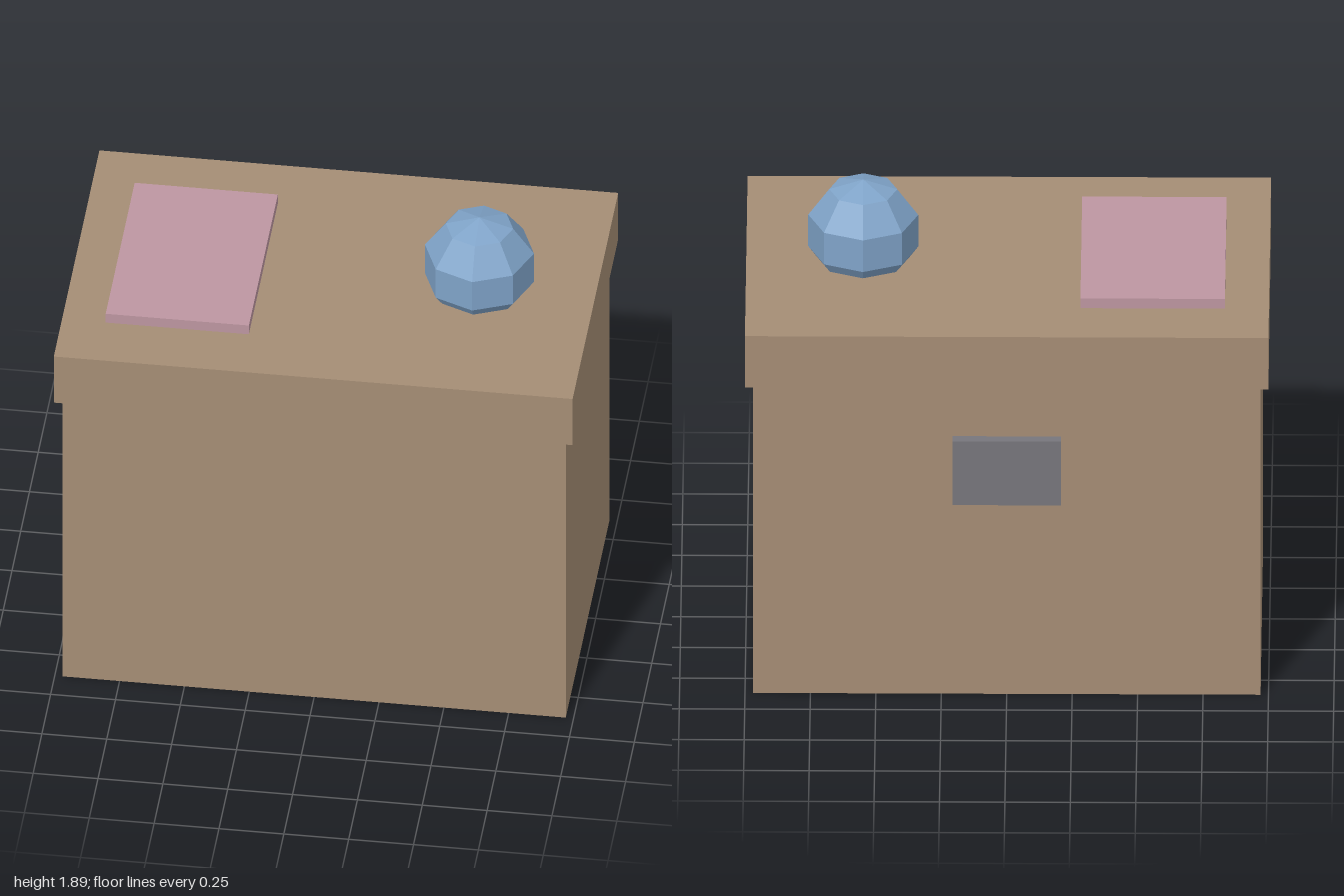
import * as THREE from 'three';

const paint = (name, color, flatShading = false) => {
  const m = new THREE.MeshStandardMaterial({ color, flatShading });
  m.name = name;
  return m;
};

export function createModel() {
  const group = new THREE.Group();
  group.name = 'cabinet';
  const brown = paint('brown', 0xa58d75);
  const pink = paint('pink', 0xbd96a1);
  const grey = paint('grey', 0x77767c);
  const blue = paint('blue', 0x7fa3c8, true);

  // Box given by its lower and upper corners
  const box = (name, material, [x0, y0, z0], [x1, y1, z1]) => {
    const mesh = new THREE.Mesh(new THREE.BoxGeometry(x1 - x0, y1 - y0, z1 - z0), material);
    mesh.position.set((x0 + x1) / 2, (y0 + y1) / 2, (z0 + z1) / 2);
    mesh.name = name;
    group.add(mesh);
  };

  // Body with an overhanging lid
  box('body', brown, [-0.97, 0, -0.618], [0.97, 1.336, 0.632]);
  box('lid', brown, [-1, 1.336, -0.646], [1, 1.558, 0.66]);

  // Flat pad on the lid and plate on the back
  box('pad', pink, [-0.832, 1.558, -0.408], [-0.28, 1.6, 0.422]);
  box('backPlate', grey, [-0.207, 0.838, -0.66], [0.207, 1.114, -0.618]);

  // Faceted ball sunk into the lid
  const ball = new THREE.Mesh(new THREE.SphereGeometry(0.221, 8, 5), blue);
  ball.position.set(0.553, 1.67, 0.007);
  ball.name = 'ball';
  group.add(ball);

  return group;
}
